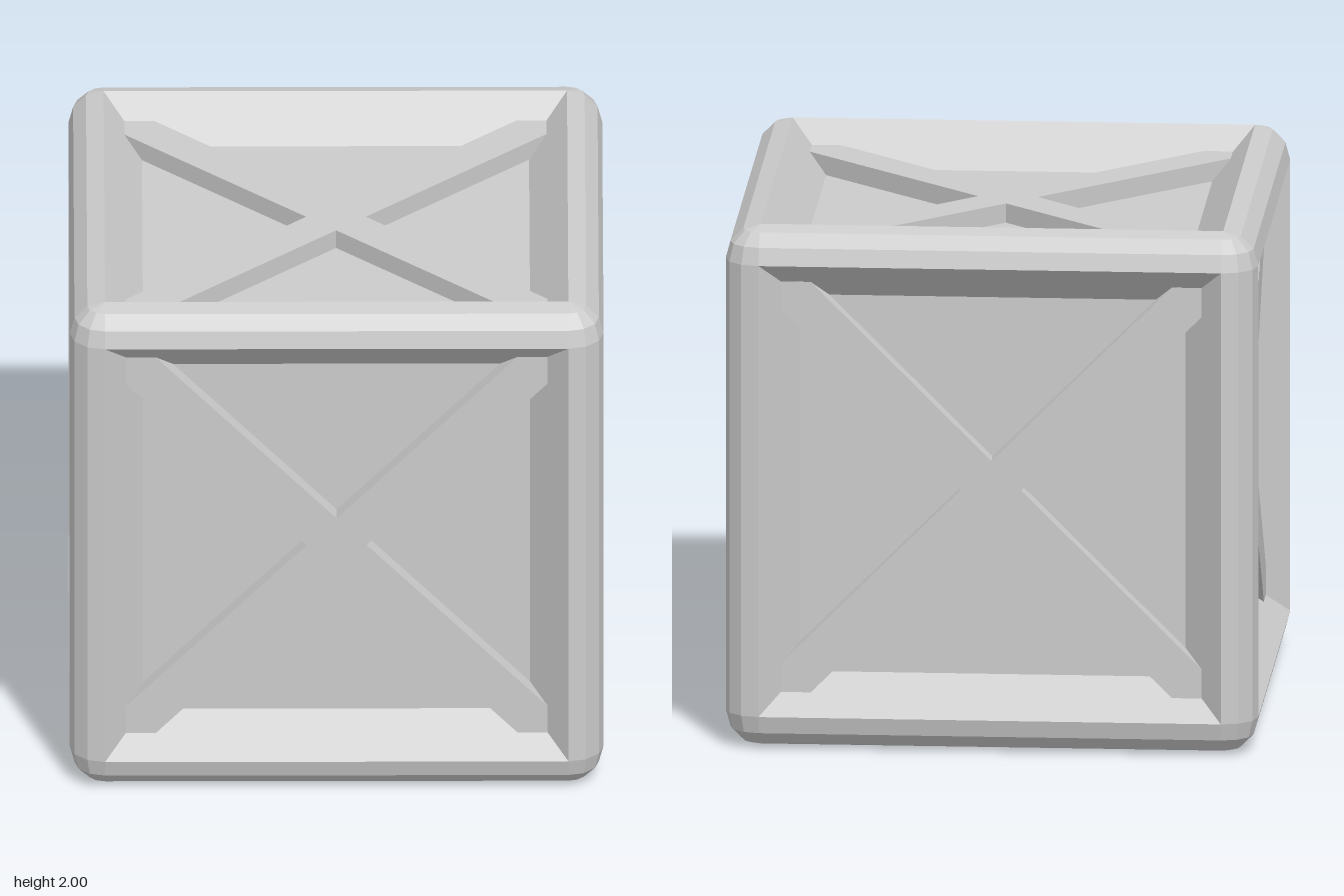
import * as THREE from 'three';

const R = 0.132;          // edge rounding radius
const OPEN = 1 - R;       // half size of each recess opening
const FLOOR = 0.725;      // half size of the recessed panel
const PANEL_Z = 0.84;     // distance of the panel from the centre
const BRACE_Z = 0.914;    // distance of the brace top from the centre
const BRACE_END = 0.79;   // where the brace ends meet the sloped walls
const BRACE_HALF = 0.112; // half width of a brace, measured along an axis

const material = new THREE.MeshStandardMaterial({ color: 0xcccccc, flatShading: true });

function part(name, geometry) {
  const mesh = new THREE.Mesh(geometry, material);
  mesh.name = name;
  return mesh;
}

// Four sloped walls from the opening down to the panel
function recessWalls() {
  const corners = [[-1, -1], [1, -1], [1, 1], [-1, 1]];
  const outer = corners.map(([x, y]) => [x * OPEN, y * OPEN, 1]);
  const inner = corners.map(([x, y]) => [x * FLOOR, y * FLOOR, PANEL_Z]);
  const positions = [];
  for (let i = 0; i < 4; i++) {
    const j = (i + 1) % 4;
    for (const p of [outer[i], outer[j], inner[j], outer[i], inner[j], inner[i]]) positions.push(...p);
  }
  const geometry = new THREE.BufferGeometry();
  geometry.setAttribute('position', new THREE.Float32BufferAttribute(positions, 3));
  geometry.computeVertexNormals();
  return geometry;
}

// Diagonal cross with square-clipped ends, outlined quarter by quarter
function crossBrace() {
  const e = BRACE_END, w = BRACE_HALF;
  const quarter = [[w, 0], [e, e - w], [e, e], [e - w, e]];
  const points = [];
  for (let k = 0; k < 4; k++) {
    for (const [x, y] of quarter) {
      points.push(new THREE.Vector2(x, y).rotateAround(new THREE.Vector2(), k * Math.PI / 2));
    }
  }
  const depth = BRACE_Z - PANEL_Z;
  return new THREE.ExtrudeGeometry(new THREE.Shape(points), { depth, bevelEnabled: false })
    .translate(0, 0, PANEL_Z);
}

export function createModel() {
  const crate = new THREE.Group();
  crate.name = 'crate';
  const body = new THREE.Group();
  body.name = 'crateBody';
  body.position.y = 1;
  crate.add(body);

  // Six identical recessed sides
  const walls = recessWalls();
  const panel = new THREE.PlaneGeometry(2 * FLOOR, 2 * FLOOR).translate(0, 0, PANEL_Z);
  const brace = crossBrace();
  const q = Math.PI / 2;
  const sides = {
    front: [0, 0], left: [0, q], back: [0, 2 * q], right: [0, -q], top: [-q, 0], bottom: [q, 0],
  };
  for (const [name, [rx, ry]] of Object.entries(sides)) {
    const side = new THREE.Group();
    side.name = name + 'Side';
    side.add(part('recessWalls', walls), part('panel', panel), part('crossBrace', brace));
    side.rotation.set(rx, ry, 0);
    body.add(side);
  }

  // Twelve rounded edges: four along each axis
  const edge = new THREE.CylinderGeometry(R, R, 2 * OPEN, 3, 1, true, 0, q).translate(OPEN, 0, OPEN);
  const axes = { vertical: edge, across: edge.clone().rotateZ(q), depth: edge.clone().rotateX(q) };
  const turnAxis = { vertical: 'y', across: 'x', depth: 'z' };
  for (const [name, geometry] of Object.entries(axes)) {
    for (let k = 0; k < 4; k++) {
      const bar = part(name + 'Edge', geometry);
      bar.rotation[turnAxis[name]] = k * q;
      body.add(bar);
    }
  }

  // Eight rounded corners
  const corner = new THREE.SphereGeometry(R, 3, 3, q, q, 0, q).translate(OPEN, OPEN, OPEN);
  const lowerCorner = corner.clone().rotateX(Math.PI);
  for (let k = 0; k < 4; k++) {
    const upper = part('upperCorner', corner);
    const lower = part('lowerCorner', lowerCorner);
    upper.rotation.y = lower.rotation.y = k * q;
    body.add(upper, lower);
  }
  return crate;
}
